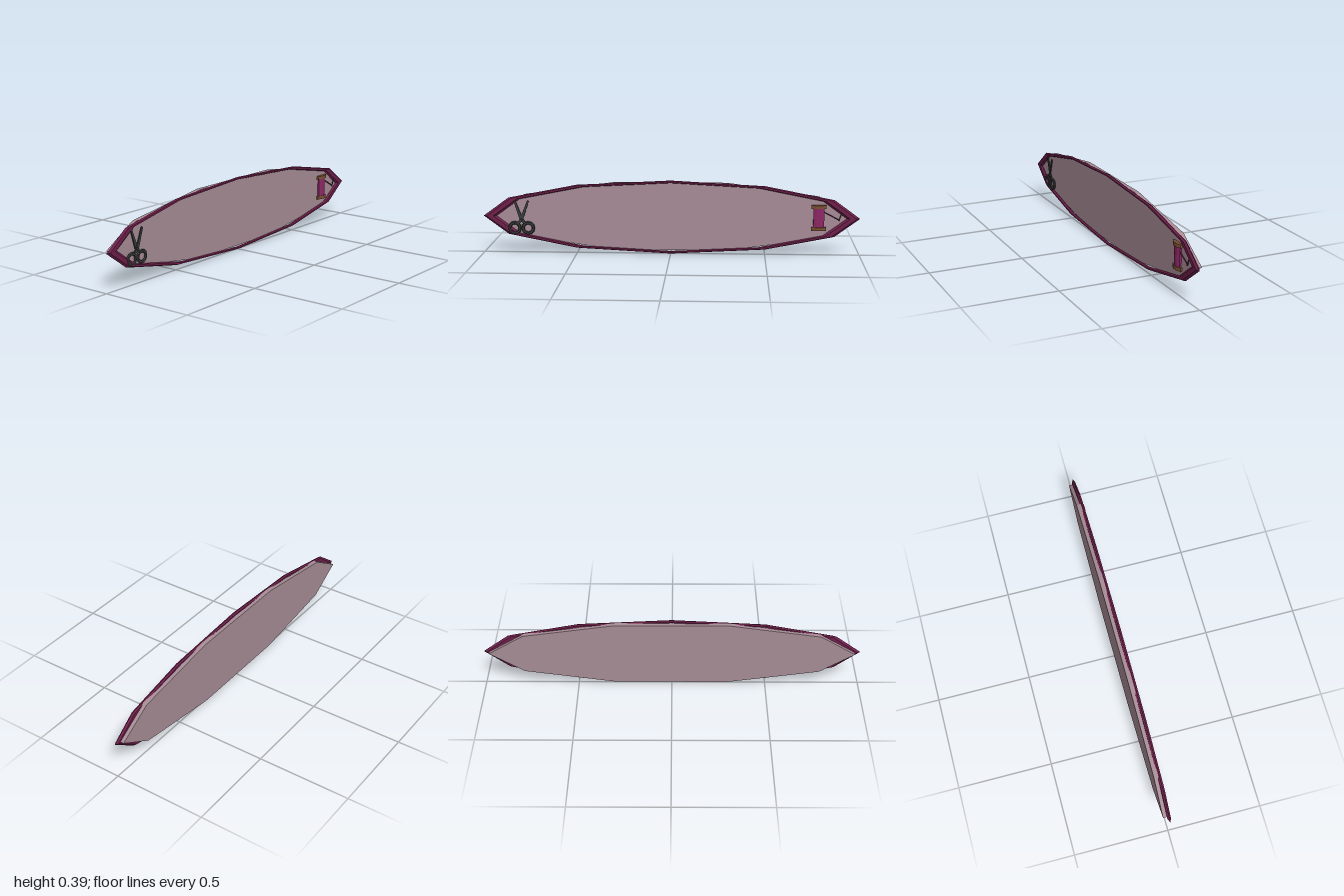
import * as THREE from 'three';

const CY = 0.197; // height of the board's centre line

function mat(color) {
  return new THREE.MeshStandardMaterial({ color, flatShading: true });
}

export function createModel() {
  const root = new THREE.Group();
  const panelMat = mat(0xa88d97), frameMat = mat(0x6e1f4a), ironMat = mat(0x3a3d3d);
  const threadMat = mat(0x8f2766), woodMat = mat(0x7a5233);

  function add(parent, name, geometry, material, x = 0, y = 0, z = 0) {
    const mesh = new THREE.Mesh(geometry, material);
    mesh.name = name;
    mesh.position.set(x, y, z);
    parent.add(mesh);
    return mesh;
  }

  // Ten-sided board, stretched into a long oval
  const panel = new THREE.CylinderGeometry(1, 1, 0.024, 10, 1, false, Math.PI / 2);
  panel.rotateX(Math.PI / 2).scale(0.97, 0.19, 1);
  add(root, 'panel', panel, panelMat, 0, CY + 0.002, -0.012);

  // Twelve-sided faceted rim
  const rim = new THREE.TorusGeometry(0.965, 0.035, 6, 12);
  rim.scale(1, CY, 0.297);
  add(root, 'frame', rim, frameMat, 0, CY, 0.005);

  // Scissors: two crossed, tapered blades, each ending in a finger ring
  const scissors = new THREE.Group();
  scissors.name = 'scissors';
  scissors.position.set(-0.797, 0.178, 0);
  root.add(scissors);
  for (const s of [-1, 1]) {
    const tip = new THREE.Vector2(s * 0.037, 0.103);
    const end = new THREE.Vector2(-s * 0.024, -0.026);
    const across = new THREE.Vector2().subVectors(tip, end).normalize();
    across.set(-across.y, across.x);
    const corner = (p, w) => p.clone().addScaledVector(across, w);
    const shape = new THREE.Shape([
      corner(end, 0.006), corner(end, -0.006), corner(new THREE.Vector2(), -0.009),
      corner(tip, -0.006), corner(tip, 0.004), corner(new THREE.Vector2(), 0.009),
    ]);
    const blade = new THREE.ExtrudeGeometry(shape, { depth: 0.006, bevelEnabled: false });
    add(scissors, s < 0 ? 'rightBlade' : 'leftBlade', blade, ironMat, 0, 0, s < 0 ? 0.007 : 0.011);
    const ring = new THREE.TorusGeometry(0.028, 0.009, 6, 12);
    ring.scale(1, 1, 0.7);
    add(scissors, s < 0 ? 'rightFingerRing' : 'leftFingerRing', ring, ironMat, s * 0.036, -0.045, 0.011);
  }
  const pivot = new THREE.CylinderGeometry(0.006, 0.009, 0.012, 6).rotateX(Math.PI / 2);
  add(scissors, 'pivot', pivot, ironMat, 0, 0, 0.018);

  // Spool: flattened core of thread between two wooden ends
  const spool = new THREE.Group();
  spool.name = 'spool';
  spool.position.set(0.783, 0.2, 0.004);
  root.add(spool);
  const core = new THREE.CylinderGeometry(0.031, 0.031, 0.104, 8, 1, false, Math.PI / 8);
  core.scale(1, 1, 0.42);
  add(spool, 'woundThread', core, threadMat);
  for (const s of [-1, 1]) {
    const end = new THREE.CylinderGeometry(0.043, 0.043, 0.018, 8, 1, false, Math.PI / 8);
    end.scale(1, 1, 0.4);
    add(spool, s > 0 ? 'topSpoolEnd' : 'bottomSpoolEnd', end, woodMat, 0, s * 0.059, 0);
  }

  // Loose thread leading to a needle
  const loose = new THREE.LineCurve3(
    new THREE.Vector3(0.81, 0.232, 0.01), new THREE.Vector3(0.889, 0.19, 0.008));
  add(root, 'looseThread', new THREE.TubeGeometry(loose, 1, 0.003, 5), frameMat);
  const needle = new THREE.CylinderGeometry(0.001, 0.004, 0.068, 6);
  add(root, 'needle', needle, ironMat, 0.9, 0.217, 0.009).rotation.z = -0.38;

  return root;
}
